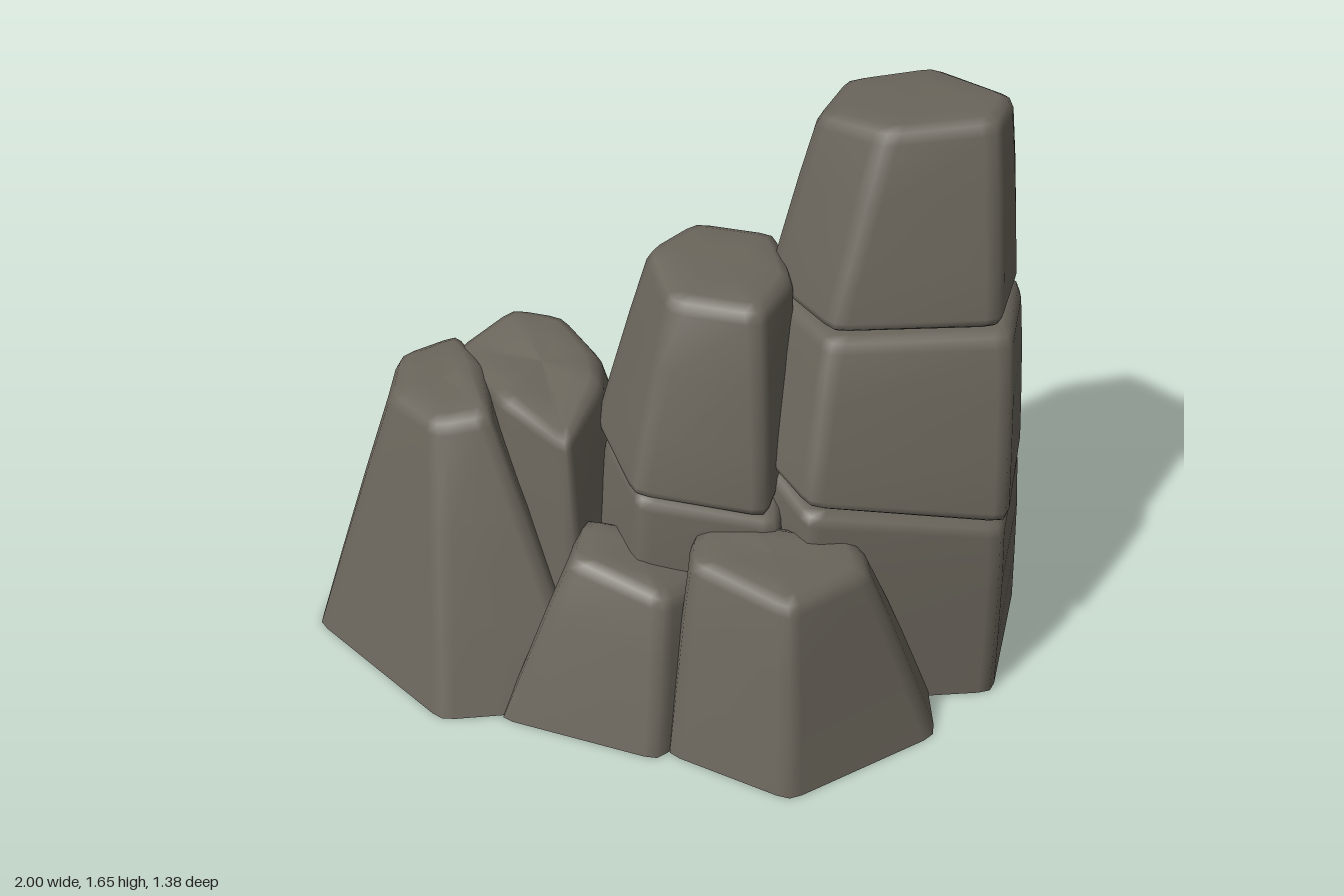
import * as THREE from 'three';

const stone = new THREE.MeshStandardMaterial({ color: 0x6a655b });
stone.name = 'greyStone';

// Rounds each corner of a closed outline into three points.
function roundCorners(points, radius) {
  const out = [];
  points.forEach((p, i) => {
    const prev = points[(i + points.length - 1) % points.length];
    const next = points[(i + 1) % points.length];
    const a = p.clone().lerp(prev, Math.min(0.3, radius / p.distanceTo(prev)));
    const b = p.clone().lerp(next, Math.min(0.3, radius / p.distanceTo(next)));
    const mid = a.clone().add(b).multiplyScalar(0.2).addScaledVector(p, 0.6);
    out.push(a, mid, b);
  });
  return out;
}

// Tapered boulder: each corner is [bottom x, y, z, top x, y, z],
// listed from front left round to the right, back and left.
function rock(name, corners, grounded) {
  const low = roundCorners(corners.map(c => new THREE.Vector3(c[0], c[1], c[2])), 0.04);
  const high = roundCorners(corners.map(c => new THREE.Vector3(c[3], c[4], c[5])), 0.04);
  const n = low.length;
  const centre = pts => pts.reduce((s, p) => s.add(p), new THREE.Vector3()).divideScalar(n);
  const h = centre(high).y - centre(low).y;

  // Cross-sections: [height fraction, inset, overall scale]
  const sections = grounded
    ? [[0, 0, 0], [0, 0, 1], [0, 0, 1]]
    : [[0, 0.03, 0], [0, 0.03, 0.6], [0, 0.02, 1], [0.008 / h, 0.007, 1], [0.025 / h, 0, 1]];
  sections.push([0.3, 0, 1.006], [0.65, 0, 1.01], [1 - 0.04 / h, 0, 1],
    [1 - 0.013 / h, 0.01, 1], [1, 0.038, 1], [1, 0.038, 0.55], [1, 0.038, 0]);

  const pos = [], index = [];
  for (const [v, inset, scale] of sections) {
    const ring = low.map((p, i) => p.clone().lerp(high[i], v));
    const c = centre(ring);
    for (const p of ring) {
      const d = p.clone().sub(c);
      const s = scale * (1 - inset / d.length());
      pos.push(c.x + d.x * s, c.y + d.y * s, c.z + d.z * s);
    }
  }
  for (let r = 0; r < sections.length - 1; r++) {
    for (let i = 0; i < n; i++) {
      const a = r * n + i, b = r * n + (i + 1) % n;
      index.push(a, b, b + n, a, b + n, a + n);
    }
  }
  const geo = new THREE.BufferGeometry();
  geo.setAttribute('position', new THREE.Float32BufferAttribute(pos, 3));
  geo.setIndex(index);
  geo.computeVertexNormals();
  const mesh = new THREE.Mesh(geo, stone);
  mesh.name = name;
  return mesh;
}

export function createModel() {
  const group = new THREE.Group();
  group.name = 'rockFormation';

  // Tall three-block column
  group.add(rock('columnBase', [
    [0.42, 0.02, 0.32, 0.42, 0.65, 0.31],
    [0.95, 0, 0.17, 0.94, 0.55, 0.15],
    [1.0, 0, -0.33, 0.975, 0.53, -0.32],
    [0.59, 0, -0.7, 0.59, 0.58, -0.61],
    [0.2, 0, -0.46, 0.28, 0.66, -0.42],
    [0.22, 0.08, 0.12, 0.3, 0.69, 0.15],
  ], true));
  group.add(rock('columnMiddle', [
    [0.42, 0.66, 0.3, 0.45, 1.1, 0.16],
    [0.95, 0.56, 0.15, 0.92, 1.095, 0.04],
    [0.98, 0.54, -0.32, 0.94, 1.095, -0.27],
    [0.59, 0.59, -0.61, 0.61, 1.1, -0.54],
    [0.28, 0.67, -0.42, 0.33, 1.105, -0.39],
    [0.29, 0.7, 0.15, 0.27, 1.105, -0.1],
  ], false));
  group.add(rock('columnTop', [
    [0.45, 1.11, 0.14, 0.56, 1.63, -0.01],
    [0.89, 1.105, 0.04, 0.84, 1.65, -0.08],
    [0.93, 1.105, -0.26, 0.88, 1.65, -0.25],
    [0.62, 1.11, -0.53, 0.66, 1.62, -0.47],
    [0.33, 1.11, -0.39, 0.43, 1.61, -0.38],
    [0.25, 1.11, -0.12, 0.37, 1.61, -0.14],
  ], false));

  // Middle stack behind the front boulders
  group.add(rock('middleBase', [
    [-0.05, 0, 0.38, -0.03, 0.67, 0.32],
    [0.38, 0, 0.32, 0.34, 0.6, 0.28],
    [0.42, 0, -0.42, 0.34, 0.64, -0.36],
    [0.22, 0, -0.62, 0.2, 0.67, -0.47],
    [-0.25, 0, -0.51, -0.16, 0.7, -0.36],
    [-0.26, 0, 0.15, -0.16, 0.7, 0.06],
  ], true));
  group.add(rock('middleTop', [
    [-0.05, 0.66, 0.31, 0.03, 1.19, 0.15],
    [0.31, 0.6, 0.28, 0.27, 1.18, 0.17],
    [0.35, 0.63, 0.02, 0.34, 1.19, -0.02],
    [0.24, 0.68, -0.39, 0.27, 1.22, -0.21],
    [-0.15, 0.71, -0.33, 0.05, 1.24, -0.21],
    [-0.2, 0.71, 0.03, -0.06, 1.23, -0.06],
  ], false));

  // Leaning pair on the right-hand side
  group.add(rock('leaningSlab', [
    [-0.46, 0, 0.2, -0.45, 0.82, 0.1],
    [-0.18, 0, 0.36, -0.24, 0.77, 0.24],
    [-0.05, 0, 0.1, -0.18, 0.83, 0.0],
    [-0.05, 0, -0.42, -0.21, 0.84, -0.13],
    [-0.31, 0, -0.57, -0.34, 0.87, -0.28],
    [-0.5, 0, -0.48, -0.49, 0.88, -0.29],
    [-0.54, 0, -0.1, -0.63, 0.82, -0.14],
  ], true));
  group.add(rock('outerBoulder', [
    [-0.56, 0, 0.51, -0.6, 0.79, 0.22],
    [-0.15, 0, 0.4, -0.46, 0.81, 0.18],
    [-0.2, 0, -0.08, -0.53, 0.84, -0.05],
    [-0.48, 0, -0.5, -0.64, 0.82, -0.22],
    [-0.99, 0, -0.21, -0.78, 0.8, -0.12],
    [-1.01, 0, 0.13, -0.76, 0.79, 0.08],
  ], true));

  // Low boulders at the front
  group.add(rock('frontSmallBoulder', [
    [-0.4, 0, 0.48, -0.21, 0.5, 0.37],
    [0.06, 0, 0.59, 0.06, 0.45, 0.47],
    [0.18, 0, 0.4, 0.15, 0.43, 0.34],
    [0.12, 0, 0.1, 0.08, 0.48, 0.2],
    [-0.34, 0, 0.15, -0.2, 0.52, 0.2],
  ], true));
  group.add(rock('frontLargeBoulder', [
    [0.08, 0, 0.56, 0.12, 0.56, 0.42],
    [0.43, 0, 0.7, 0.4, 0.55, 0.58],
    [0.8, 0, 0.38, 0.59, 0.54, 0.38],
    [0.76, 0.03, 0.16, 0.56, 0.55, 0.26],
    [0.2, 0.03, 0.14, 0.22, 0.58, 0.23],
    [0.08, 0, 0.34, 0.11, 0.57, 0.3],
  ], true));

  return group;
}
